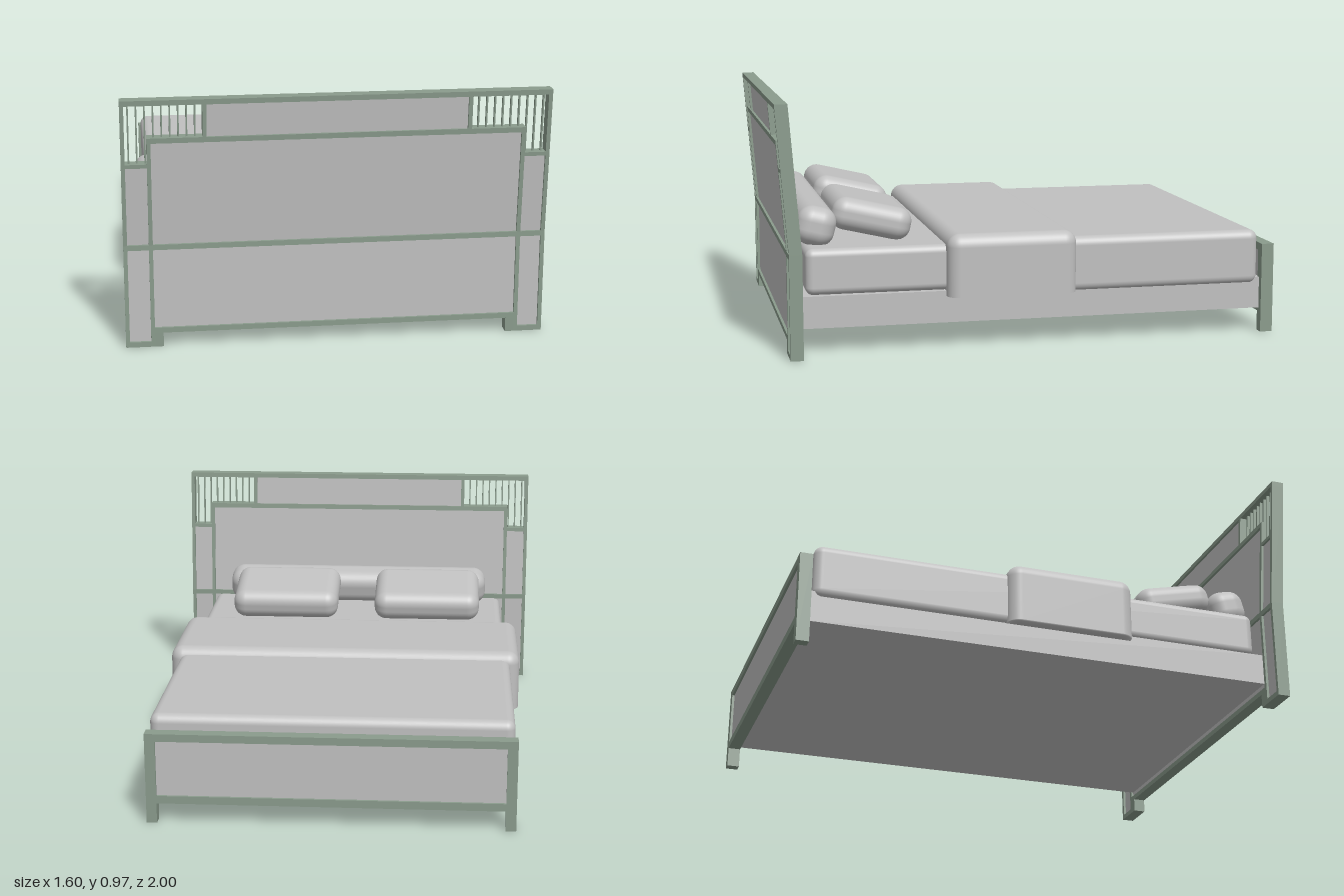
import * as THREE from 'three';
import { RoundedBoxGeometry } from 'three/addons/geometries/RoundedBoxGeometry.js';

const frameGreen = new THREE.MeshStandardMaterial({ color: 0x8a9b8c });
frameGreen.name = 'frame green';
const softGrey = new THREE.MeshStandardMaterial({ color: 0xc0c0c0 });
softGrey.name = 'soft grey';

const BEND = 0.405; // height where the headboard starts to lean back
const HEAD_Z = 0.93;

function add(parent, name, geometry, material) {
  const mesh = new THREE.Mesh(geometry, material);
  mesh.name = name;
  parent.add(mesh);
  return mesh;
}

// Plain box given by its limits
function box(parent, name, material, x0, x1, y0, y1, z0, z1) {
  const mesh = add(parent, name, new THREE.BoxGeometry(x1 - x0, y1 - y0, z1 - z0), material);
  mesh.position.set((x0 + x1) / 2, (y0 + y1) / 2, (z0 + z1) / 2);
  return mesh;
}

// Headboard piece that follows the lean above BEND
function leaning(parent, name, material, x0, x1, y0, y1, depth = 0.05) {
  const crosses = y0 < BEND && y1 > BEND;
  const g = new THREE.BoxGeometry(x1 - x0, y1 - y0, depth, 1, crosses ? 2 : 1, 1).toNonIndexed();
  g.translate((x0 + x1) / 2, (y0 + y1) / 2, HEAD_Z);
  const p = g.attributes.position;
  for (let i = 0; i < p.count; i++) {
    let y = p.getY(i);
    if (crosses && Math.abs(y - (y0 + y1) / 2) < 1e-4) y = BEND;
    p.setY(i, y);
    p.setZ(i, p.getZ(i) + Math.max(0, y - BEND) * 0.08);
  }
  g.computeVertexNormals();
  return add(parent, name, g, material);
}

// Soft rounded block; flatBottom cuts the lower rounding off square
function cushion(parent, name, size, pos, radius, flatBottom = false) {
  const [w, h, d] = size;
  const extra = flatBottom ? radius : 0;
  const g = new RoundedBoxGeometry(w, h + extra, d, 5, radius);
  if (flatBottom) {
    g.translate(0, -extra / 2, 0);
    const p = g.attributes.position;
    for (let i = 0; i < p.count; i++) p.setY(i, Math.max(p.getY(i), -h / 2));
  }
  const mesh = add(parent, name, g, softGrey);
  mesh.position.set(...pos);
  return mesh;
}

function buildHeadboard() {
  const head = new THREE.Group();
  head.name = 'headboard';
  // Mirrored x range helper
  const both = (name, mat, a, b, y0, y1, depth) => {
    leaning(head, name, mat, a, b, y0, y1, depth);
    leaning(head, name, mat, -b, -a, y0, y1, depth);
  };
  // Frame
  leaning(head, 'topRail', frameGreen, -0.8, 0.8, 0.95, 0.97);
  leaning(head, 'panelTopRail', frameGreen, -0.69, 0.69, 0.805, 0.825);
  leaning(head, 'middleRail', frameGreen, -0.785, 0.785, 0.385, 0.405);
  leaning(head, 'bottomRail', frameGreen, -0.69, 0.69, 0.055, 0.075);
  both('outerStile', frameGreen, 0.785, 0.8, 0, 0.95);
  both('innerStile', frameGreen, 0.69, 0.705, 0, 0.825);
  both('postTopRail', frameGreen, 0.705, 0.785, 0.71, 0.725);
  both('postFoot', frameGreen, 0.705, 0.785, 0, 0.02);
  both('footBlock', frameGreen, 0.658, 0.69, 0, 0.07);
  both('topDivider', frameGreen, 0.485, 0.5, 0.825, 0.95);
  // Recessed panels
  leaning(head, 'mainPanel', softGrey, -0.69, 0.69, 0.07, 0.81, 0.03);
  leaning(head, 'topPanel', softGrey, -0.485, 0.485, 0.82, 0.955, 0.03);
  both('postPanel', softGrey, 0.705, 0.785, 0.02, 0.71, 0.03);
  // Corner slats
  for (let i = 0; i < 9; i++) {
    const x = 0.527 + i * 0.0305;
    both('slat', frameGreen, x - 0.003, x + 0.003, x < 0.705 ? 0.82 : 0.72, 0.955, 0.012);
  }
  return head;
}

function buildFootboard() {
  const foot = new THREE.Group();
  foot.name = 'footboard';
  for (const s of [-1, 1]) {
    const x = s * 0.685;
    box(foot, 'footLeg', frameGreen, x - 0.02, x + 0.02, 0, 0.36, -1, -0.95);
  }
  box(foot, 'footTopRail', frameGreen, -0.665, 0.665, 0.33, 0.36, -1, -0.95);
  box(foot, 'footBottomRail', frameGreen, -0.665, 0.665, 0.08, 0.11, -1, -0.95);
  box(foot, 'footPanel', softGrey, -0.665, 0.665, 0.11, 0.33, -0.99, -0.96);
  return foot;
}

function buildBedding() {
  const bedding = new THREE.Group();
  bedding.name = 'bedding';
  cushion(bedding, 'mattress', [1.35, 0.18, 1.8], [0, 0.31, -0.02], 0.03);
  cushion(bedding, 'blanket', [1.39, 0.22, 1.2], [0, 0.305, -0.34], 0.035);
  cushion(bedding, 'blanketFold', [1.47, 0.245, 0.515], [0, 0.3225, 0.0775], 0.05, true);
  // Bolster against the headboard
  const bolster = cushion(bedding, 'bolster', [1.2, 0.155, 0.155], [-0.005, 0.47, 0.825], 0.06);
  bolster.rotation.x = -0.25;
  // Two tilted pillows
  for (const x of [-0.335, 0.308]) {
    const pillow = cushion(bedding, 'pillow', [0.475, 0.13, 0.32], [x, 0.485, 0.6], 0.055);
    pillow.rotation.x = -0.23;
  }
  return bedding;
}

export function createModel() {
  const bed = new THREE.Group();
  bed.name = 'bed';
  bed.add(buildHeadboard(), buildFootboard(), buildBedding());
  box(bed, 'bedBase', softGrey, -0.68, 0.68, 0.095, 0.22, -0.955, 0.91);
  return bed;
}
